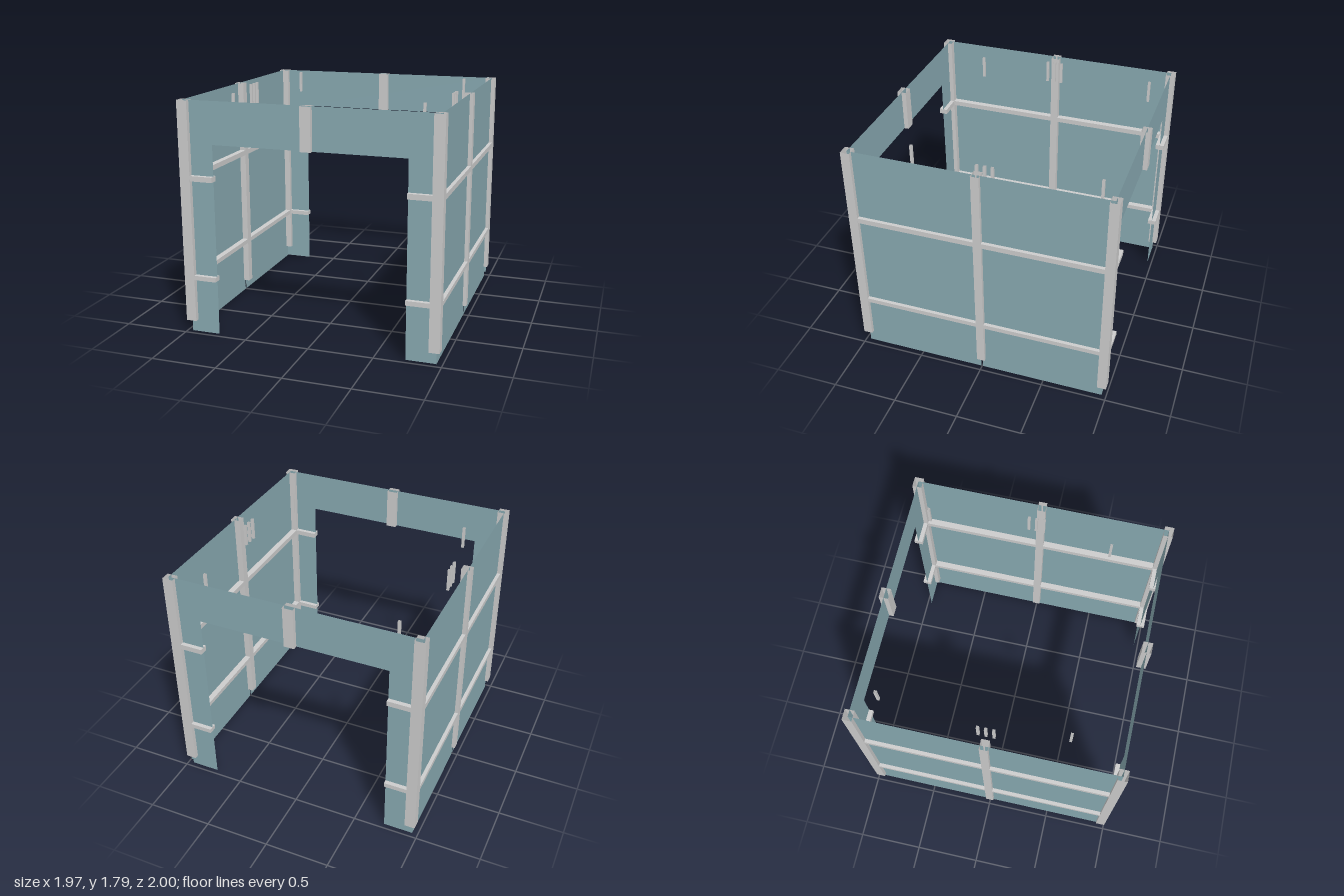
import * as THREE from 'three';

const grey = new THREE.MeshStandardMaterial({ color: 0xcccccc, side: THREE.DoubleSide });
const teal = new THREE.MeshStandardMaterial({ color: 0x87a8b0, side: THREE.DoubleSide });

const TOP = 1.79;        // top of walls and posts
const SIDE = 0.955;      // x of the side wall sheets
const END = 0.965;       // z of the front and back wall sheets
const OPENING = 0.73;    // half width of the doorway
const LINTEL = 1.47;     // underside of the lintel

export function createModel() {
  const model = new THREE.Group();
  model.name = 'openBooth';

  const add = (name, geometry, material) => {
    const mesh = new THREE.Mesh(geometry, material);
    mesh.name = name;
    model.add(mesh);
    return mesh;
  };

  // Solid bar between two corners
  const bar = (name, x0, x1, y0, y1, z0, z1) =>
    add(name, new THREE.BoxGeometry(Math.abs(x1 - x0), y1 - y0, Math.abs(z1 - z0)), grey)
      .position.set((x0 + x1) / 2, (y0 + y1) / 2, (z0 + z1) / 2);

  // Vertical square tube with open ends
  const tube = (name, x, z, w, d, y0, y1) => {
    const geometry = new THREE.CylinderGeometry(Math.SQRT1_2, Math.SQRT1_2, 1, 4, 1, true)
      .toNonIndexed();
    geometry.rotateY(Math.PI / 4);
    geometry.scale(w, y1 - y0, d);
    geometry.computeVertexNormals();
    add(name, geometry, grey).position.set(x, (y0 + y1) / 2, z);
  };

  // Front and back sheets: one outline with the doorway cut out
  for (const s of [1, -1]) {
    const outline = new THREE.Shape([
      [-SIDE, 0.005], [-OPENING, 0.005], [-OPENING, LINTEL], [OPENING, LINTEL],
      [OPENING, 0.005], [SIDE, 0.005], [SIDE, TOP], [-SIDE, TOP],
    ].map(([x, y]) => new THREE.Vector2(x, y)));
    add(s > 0 ? 'frontWall' : 'backWall', new THREE.ShapeGeometry(outline), teal)
      .position.z = s * END;
    tube('lintelPost', 0, s * END, 0.08, 0.07, LINTEL, TOP);
  }

  for (const sx of [1, -1]) {
    // Side sheets, split by a narrow gap behind the middle post
    for (const sz of [1, -1]) {
      const sheet = add('sideWall', new THREE.PlaneGeometry(END - 0.006, TOP), teal);
      sheet.rotation.y = Math.PI / 2;
      sheet.position.set(sx * SIDE, TOP / 2, sz * (END + 0.006) / 2);
      tube('cornerPost', sx * 0.945, sz * END, 0.08, 0.07, 0.1, TOP);
    }
    tube('middlePost', sx * 0.945, 0, 0.076, 0.062, 0.09, TOP);

    // Small tab under each back post
    add('backTab', new THREE.PlaneGeometry(0.015, 0.06), teal)
      .position.set(sx * 0.9625, 0.07, -END);

    // Horizontal rails along the sides and short returns to the doorway
    for (const [y0, y1] of [[0.43, 0.465], [1.195, 1.235]]) {
      bar('sideRail', sx * 0.907, sx * 0.983, y0, y1, -0.998, 0.998);
      for (const sz of [1, -1])
        bar('doorwayRail', sx * OPENING, sx * 0.906, y0, y1, sz * 0.932, sz * 0.998);
    }

    // Thin hanging rods inside the walls
    const rods = [[0.74, 0.57], [0.74, -0.83], [0.833, -0.075], [0.833, -0.018], [0.833, 0.04]];
    for (const [x, z] of rods) tube('hangingRod', sx * x, z, 0.02, 0.02, 1.62, TOP);
  }

  return model;
}
